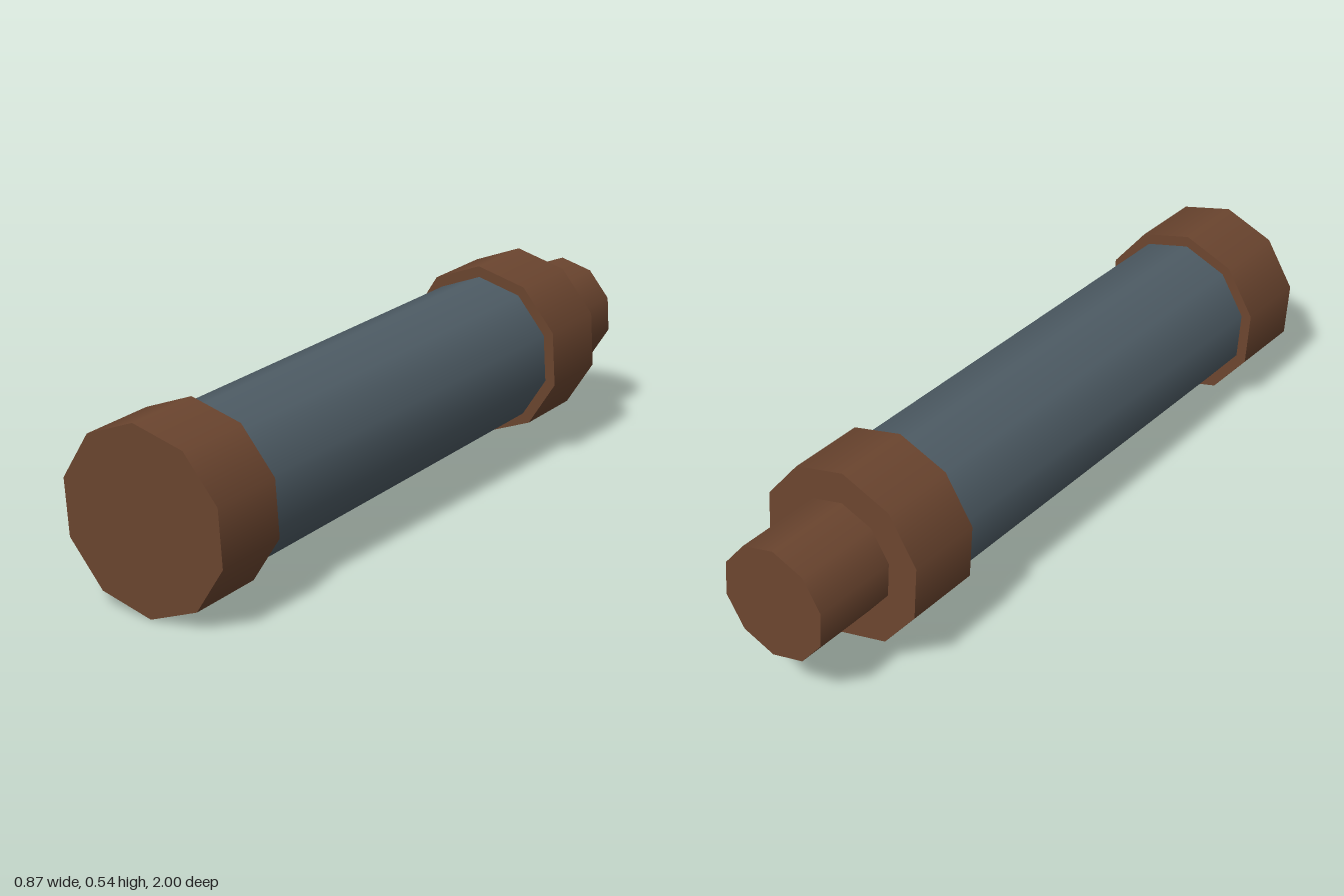
import * as THREE from 'three';

export function createModel() {
  const model = new THREE.Group();
  model.name = 'spyglass';

  const leather = new THREE.MeshStandardMaterial({ color: 0x6b452f });
  leather.name = 'brown leather';
  const steel = new THREE.MeshStandardMaterial({ color: 0x4e5c65 });
  steel.name = 'blue grey metal';

  // Axis of the tube, from the centre of the front face to the rear tip
  const front = new THREE.Vector3(-0.208, 0.247, 0.94);
  const rear = new THREE.Vector3(0.263, 0.31, -0.965);
  const length = front.distanceTo(rear);

  // Local +z runs to the front; the front face lies at z = 0
  const body = new THREE.Group();
  body.name = 'body';
  body.position.copy(front);
  body.lookAt(front.clone().multiplyScalar(2).sub(rear));
  body.rotateZ(THREE.MathUtils.degToRad(2.8));
  model.add(body);

  // Ten-sided section between two distances behind the front face
  const section = (name, radius, from, to, material) => {
    const geometry = new THREE.CylinderGeometry(radius, radius, to - from, 10);
    geometry.rotateX(Math.PI / 2);
    const mesh = new THREE.Mesh(geometry, material);
    mesh.name = name;
    mesh.position.z = -(from + to) / 2;
    body.add(mesh);
  };

  section('frontCap', 0.245, 0, 0.216, leather);
  section('mainTube', 0.214, 0.2, 1.52, steel);
  section('rearCollar', 0.245, 1.499, 1.716, leather);
  section('eyepiece', 0.157, 1.7, length, leather);

  return model;
}
